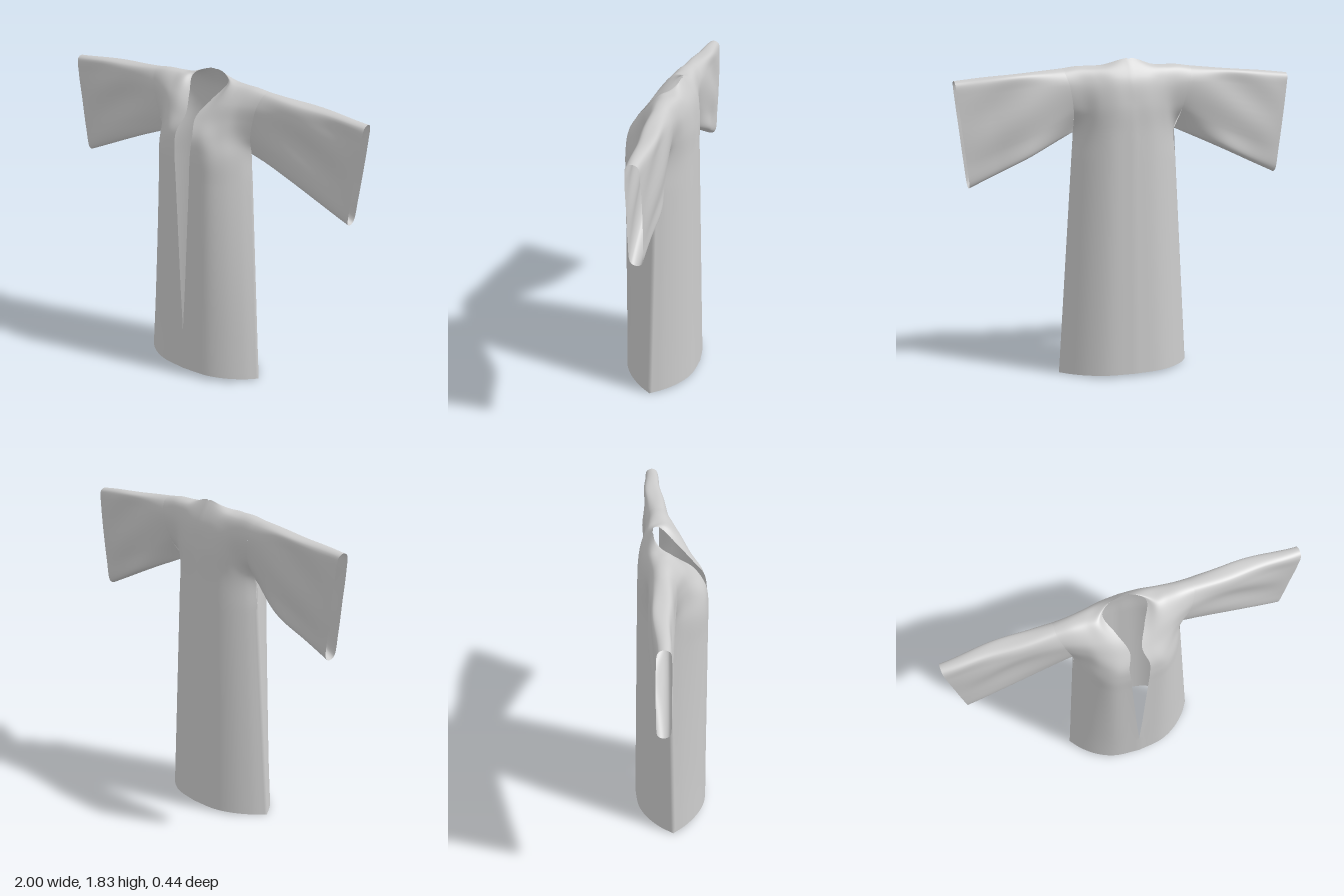
import * as THREE from 'three';
import { mergeGeometries, mergeVertices } from 'three/addons/utils/BufferGeometryUtils.js';

const V = (x, y, z) => new THREE.Vector3(x, y, z);
const mix = THREE.MathUtils.lerp;

// Shoulder part of each rib: from chest, over the shoulder, to the shoulder blade
const shoulderRibs = [
  [[.057, 1.53, .192], [.035, 1.62, .132], [.08, 1.71, .04], [.122, 1.79, -.05], [.07, 1.822, -.088], [0, 1.83, -.10], [0, 1.72, -.162], [0, 1.58, -.182]],
  [[.13, 1.53, .178], [.12, 1.62, .125], [.14, 1.71, .062], [.16, 1.79, -.02], [.155, 1.795, -.075], [.13, 1.785, -.115], [.11, 1.72, -.155], [.10, 1.58, -.178]],
  [[.20, 1.53, .128], [.20, 1.62, .1], [.21, 1.71, .058], [.22, 1.787, -.02], [.22, 1.793, -.07], [.22, 1.775, -.11], [.20, 1.70, -.143], [.19, 1.57, -.152]],
  [[.26, 1.53, .064], [.265, 1.62, .06], [.28, 1.71, .04], [.30, 1.785, -.02], [.30, 1.792, -.07], [.30, 1.77, -.105], [.28, 1.69, -.132], [.26, 1.56, -.118]],
  [[.32, 1.52, .012], [.34, 1.62, .022], [.36, 1.71, .015], [.38, 1.775, -.025], [.38, 1.782, -.07], [.38, 1.76, -.105], [.36, 1.69, -.13], [.33, 1.55, -.105]],
].map(rib => rib.map(p => V(...p)));

// Skirt levels: height and half width of the front opening
const levels = [[0, 0], [.27, 0], [.6, .017], [.95, .033], [1.25, .047], [1.42, .054]];

// Point of the skirt: f = 0 at the centre, 1 at the side seam; side = 1 front, -1 back
function skirtPoint(f, [y, slit], side) {
  const t = y / 1.42;
  const bulge = (1 - f ** 2.5) ** .9;
  const depth = side > 0 ? mix(.218, .23, t) : mix(.22, .168, t);
  const hem = y ? 0 : .005 + (side > 0 ? .032 : .013) * bulge;
  return V(mix(side > 0 ? slit : 0, mix(.4, .31, t), f), y + hem, side * depth * bulge - .02 * t);
}

// Smooth surface through ribs that hold equal numbers of points
function loft(ribs, across, along, closed, shape) {
  const curves = ribs.map(r => new THREE.CatmullRomCurve3(r, closed));
  const pos = [], index = [];
  for (let j = 0; j <= along; j++) {
    const row = new THREE.CatmullRomCurve3(curves.map(c => c.getPoint(j / along)));
    for (let i = 0; i <= across; i++) {
      const p = row.getPoint(i / across);
      if (shape) shape(p, i / across);
      pos.push(Math.max(0, p.x), p.y, p.z);
    }
  }
  for (let j = 0; j < along; j++) {
    for (let i = 0; i < across; i++) {
      const a = j * (across + 1) + i, b = a + across + 1;
      index.push(a, a + 1, b, a + 1, b + 1, b);
    }
  }
  const g = new THREE.BufferGeometry();
  g.setAttribute('position', new THREE.Float32BufferAttribute(pos, 3));
  g.setIndex(index);
  return g;
}

// Mirrored copy with the faces turned round again
function mirrored(g) {
  const m = g.clone().scale(-1, 1, 1);
  m.setIndex(Array.from(g.index.array).reverse());
  return m;
}

function smooth(g) {
  const m = mergeVertices(g, 1e-4);
  m.computeVertexNormals();
  return m;
}

export function createModel() {
  const group = new THREE.Group();
  const cloth = new THREE.MeshStandardMaterial({ color: 0xcccccc, side: THREE.DoubleSide });
  const add = (name, g) => {
    const mesh = new THREE.Mesh(smooth(g), cloth);
    mesh.name = name;
    group.add(mesh);
  };

  // Body: ribs run from the front hem over the shoulder to the back hem
  const bodyRibs = [0, .4, .66, .87, 1].map((f, k) => [
    ...levels.map(l => skirtPoint(f, l, 1)),
    ...shoulderRibs[k],
    ...levels.map(l => skirtPoint(f, l, -1)).reverse(),
  ]);
  const half = loft(bodyRibs, 24, 152, false);
  add('robeBody', mergeGeometries([half, mirrored(half)]));

  // Sleeve: rings from the armhole to the open cuff
  const armhole = shoulderRibs[4];
  const armpit = skirtPoint(1, levels[5], 1);
  const startRing = [
    armpit, armpit.clone().lerp(armhole[0], .15), ...armhole, armpit.clone().lerp(armhole[7], .15),
  ];
  const heights = [0, .025, .25, .55, .82, .975, 1, .975, .82, .25, .025];
  const sides = [0, .75, 1, 1, 1, .75, 0, -.75, -1, -1, -.75];
  const flatRing = (low, high, thick) => heights.map((h, i) =>
    V(mix(low[0], high[0], h), mix(low[1], high[1], h), -.073 + thick * sides[i]));
  const sleeveRibs = [
    startRing,
    flatRing([.58, 1.3], [.62, 1.762], .06),
    flatRing([.78, 1.208], [.83, 1.747], .048),
    flatRing([.93, 1.14], [1, 1.73], .04),
  ];
  // Soft diagonal folds that fade out at both ends
  const folds = (p, t) => {
    p.z += .006 * Math.sin(Math.PI * t) * Math.sin(22 * (p.y - 1.4) + 13 * p.x);
  };
  const sleeve = loft(sleeveRibs, 40, 88, true, folds);
  add('leftSleeve', sleeve);
  add('rightSleeve', mirrored(sleeve));

  return group;
}
